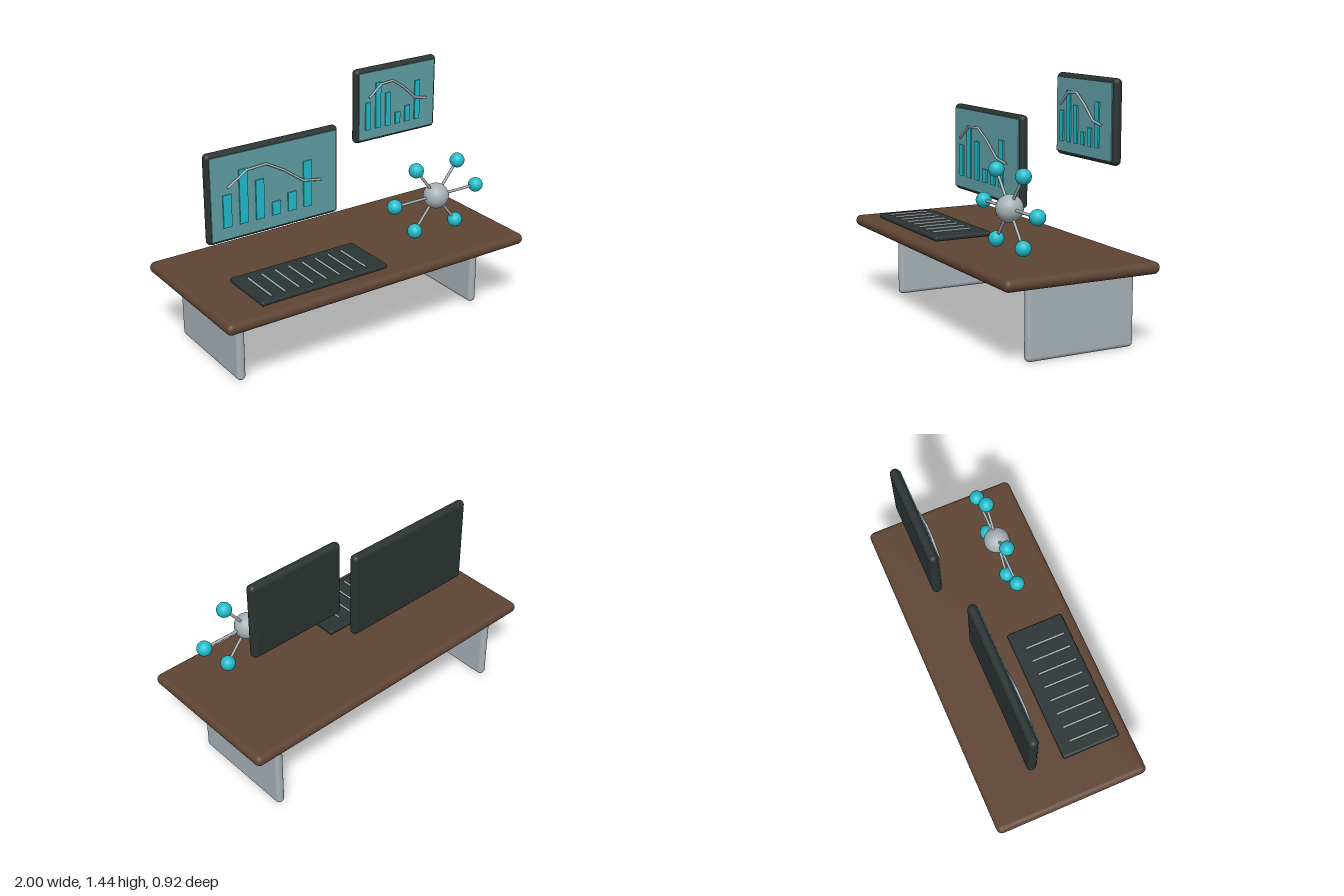
import * as THREE from 'three';
import { RoundedBoxGeometry } from 'three/addons/geometries/RoundedBoxGeometry.js';

const material = (name, color) => {
  const m = new THREE.MeshStandardMaterial({ color });
  m.name = name;
  return m;
};

export function createModel() {
  const wood = material('brown wood', 0x5e4433);
  const dark = material('dark casing', 0x2a3432);
  const steel = material('pale steel', 0xa6b1b7);
  const cyan = material('bright cyan', 0x20bccb);
  const glass = material('teal screen', 0x60a0a5);

  const model = new THREE.Group();
  model.name = 'workstation';

  const add = (parent, name, geometry, mat, x, y, z) => {
    const mesh = new THREE.Mesh(geometry, mat);
    mesh.name = name;
    mesh.position.set(x, y, z);
    parent.add(mesh);
    return mesh;
  };
  const slab = (parent, name, mat, w, h, d, x, y, z, r) =>
    add(parent, name, new RoundedBoxGeometry(w, h, d, 4, r), mat, x, y, z);

  // Thin round bar between two points
  const rod = (parent, name, a, b, radius, mat) => {
    const dir = b.clone().sub(a);
    const mid = a.clone().add(b).multiplyScalar(0.5);
    const mesh = add(parent, name, new THREE.CylinderGeometry(radius, radius, dir.length(), 10), mat, mid.x, mid.y, mid.z);
    mesh.quaternion.setFromUnitVectors(new THREE.Vector3(0, 1, 0), dir.normalize());
  };

  // Desk
  slab(model, 'deskTop', wood, 2, 0.066, 0.92, 0, 0.458, 0, 0.032);
  for (const side of [-1, 1])
    slab(model, side < 0 ? 'rightLeg' : 'leftLeg', steel, 0.052, 0.43, 0.65, side * 0.81, 0.215, -0.079, 0.025);

  // Floating displays: casing, screen, bar chart and trend line
  const barHeights = [0.193, 0.321, 0.236, 0.081, 0.113, 0.278];
  const trend = [[-0.31, 0.064], [-0.188, 0.144], [-0.065, 0.152], [0.048, 0.09], [0.176, -0.003], [0.294, -0.022]];

  function display(name, w, h, x, y, z, s, sy, barBase) {
    const g = new THREE.Group();
    g.name = name;
    g.position.set(x, y, z);
    model.add(g);
    slab(g, 'casing', dark, w, h, 0.054, 0, 0, 0, 0.026);
    add(g, 'screen', new THREE.BoxGeometry(w - 0.042, h - 0.044, 0.006), glass, 0, 0, 0.029);
    barHeights.forEach((bh, i) => {
      const height = bh * sy;
      add(g, 'chartBar', new THREE.BoxGeometry(0.053 * s, height, 0.008), cyan,
        (-0.31 + i * 0.1038) * s, barBase + height / 2, 0.037);
    });
    const points = trend.map(([px, py]) => new THREE.Vector3(px * s, py * sy, 0.049));
    for (let i = 1; i < points.length; i++)
      rod(g, 'trendLine', points[i - 1], points[i], 0.007, steel);
    for (const p of points.slice(1, -1))
      add(g, 'trendJoint', new THREE.SphereGeometry(0.007, 10, 8), steel, p.x, p.y, p.z);
  }
  display('mainDisplay', 0.856, 0.535, -0.353, 0.915, -0.159, 1, 1, -0.172);
  display('smallDisplay', 0.588, 0.451, 0.567, 1.212, -0.27, 0.688, 0.87, -0.145);

  // Keyboard with rows of keys
  const keyboard = new THREE.Group();
  keyboard.name = 'keyboard';
  model.add(keyboard);
  slab(keyboard, 'keyboardBase', dark, 0.81, 0.029, 0.35, -0.355, 0.517, 0.218, 0.014);
  for (let i = 0; i < 8; i++) {
    const x = -0.681 + i * 0.0866;
    rod(keyboard, 'keyRow', new THREE.Vector3(x, 0.535, 0.112), new THREE.Vector3(x, 0.535, 0.355), 0.006, steel);
  }

  // Hub with six satellite nodes on a flattened ring
  const network = new THREE.Group();
  network.name = 'networkHub';
  network.position.set(0.538, 0.754, 0.19);
  model.add(network);
  add(network, 'hub', new THREE.SphereGeometry(0.075, 32, 24), steel, 0, 0, 0);
  for (let i = 0; i < 6; i++) {
    const a = (i * Math.PI) / 3;
    const p = new THREE.Vector3(Math.cos(a) * 0.297, Math.sin(a) * 0.217, 0);
    rod(network, 'spoke', new THREE.Vector3(), p, 0.008, steel);
    add(network, 'node', new THREE.SphereGeometry(0.043, 28, 20), cyan, p.x, p.y, p.z);
  }

  return model;
}
